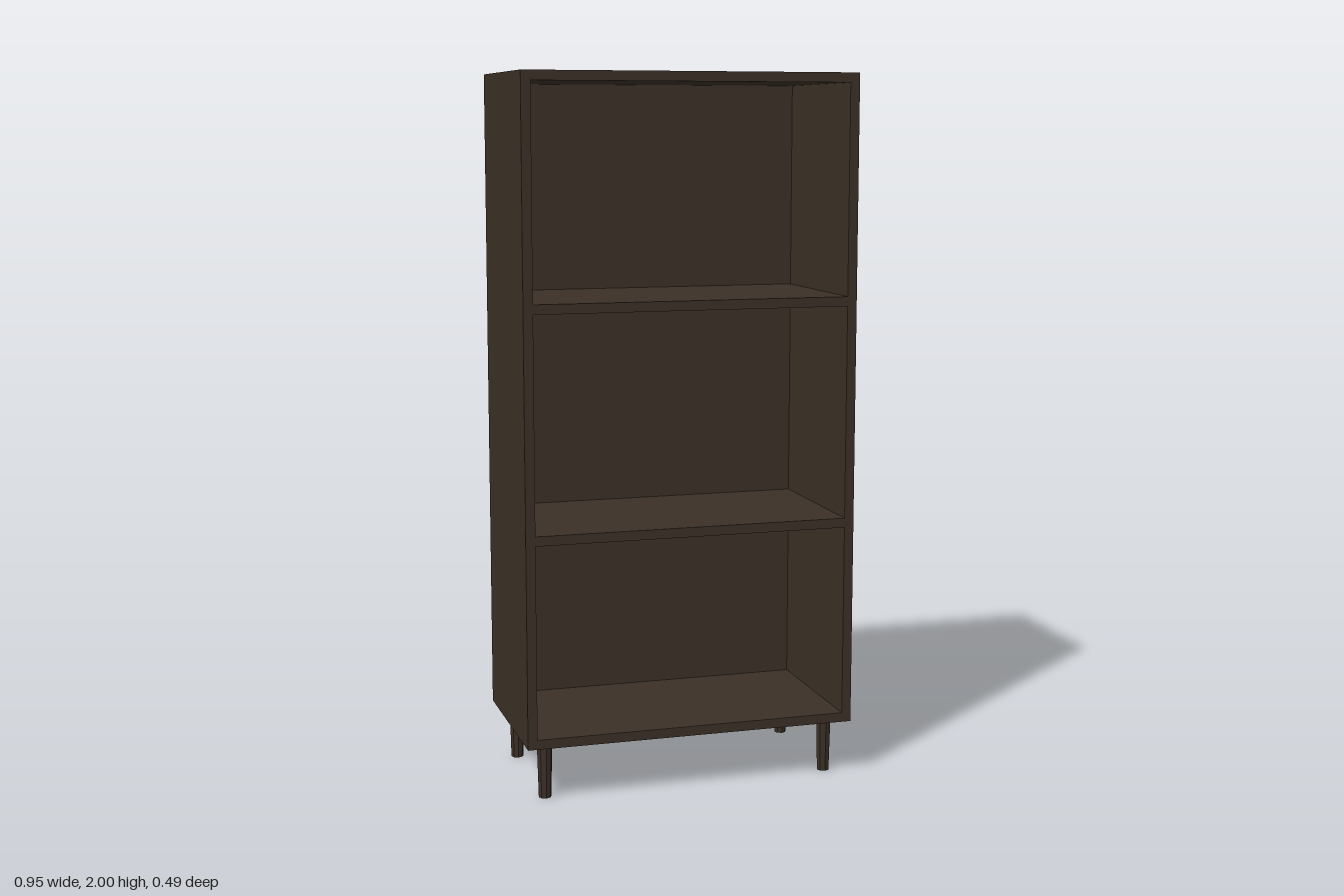
import * as THREE from 'three';

export function createModel() {
  const group = new THREE.Group();
  const wood = new THREE.MeshStandardMaterial({ color: 0x3a3026 });
  wood.name = 'darkWood';

  const W = 0.95, D = 0.492, T = 0.027; // case width, depth, board thickness
  const bottom = 0.158, top = 2;
  const innerW = W - 2 * T, innerD = D - T;

  const add = (name, geometry, x, y, z) => {
    const mesh = new THREE.Mesh(geometry, wood);
    mesh.name = name;
    mesh.position.set(x, y, z);
    group.add(mesh);
    return mesh;
  };
  const board = (name, w, h, d, x, y, z) => add(name, new THREE.BoxGeometry(w, h, d), x, y, z);

  // Case: sides, top, bottom and back
  const midY = (bottom + top) / 2, H = top - bottom;
  board('leftSide', T, H, D, (W - T) / 2, midY, 0);
  board('rightSide', T, H, D, -(W - T) / 2, midY, 0);
  board('topBoard', innerW, T, D, 0, top - T / 2, 0);
  board('bottomBoard', innerW, T, D, 0, bottom + T / 2, 0);
  board('backPanel', innerW, H - 2 * T, T, 0, midY, -(D - T) / 2);

  // Two shelves, flush with the front edge
  for (const y of [0.743, 1.372]) board('shelf', innerW, T, innerD, 0, y, T / 2);

  // Four tapered legs
  const legGeometry = new THREE.CylinderGeometry(0.022, 0.018, bottom, 8).toNonIndexed();
  legGeometry.computeVertexNormals();
  for (const x of [-0.415, 0.415]) {
    for (const z of [-0.185, 0.185]) {
      add(z > 0 ? 'frontLeg' : 'backLeg', legGeometry, x, bottom / 2, z);
    }
  }
  return group;
}
